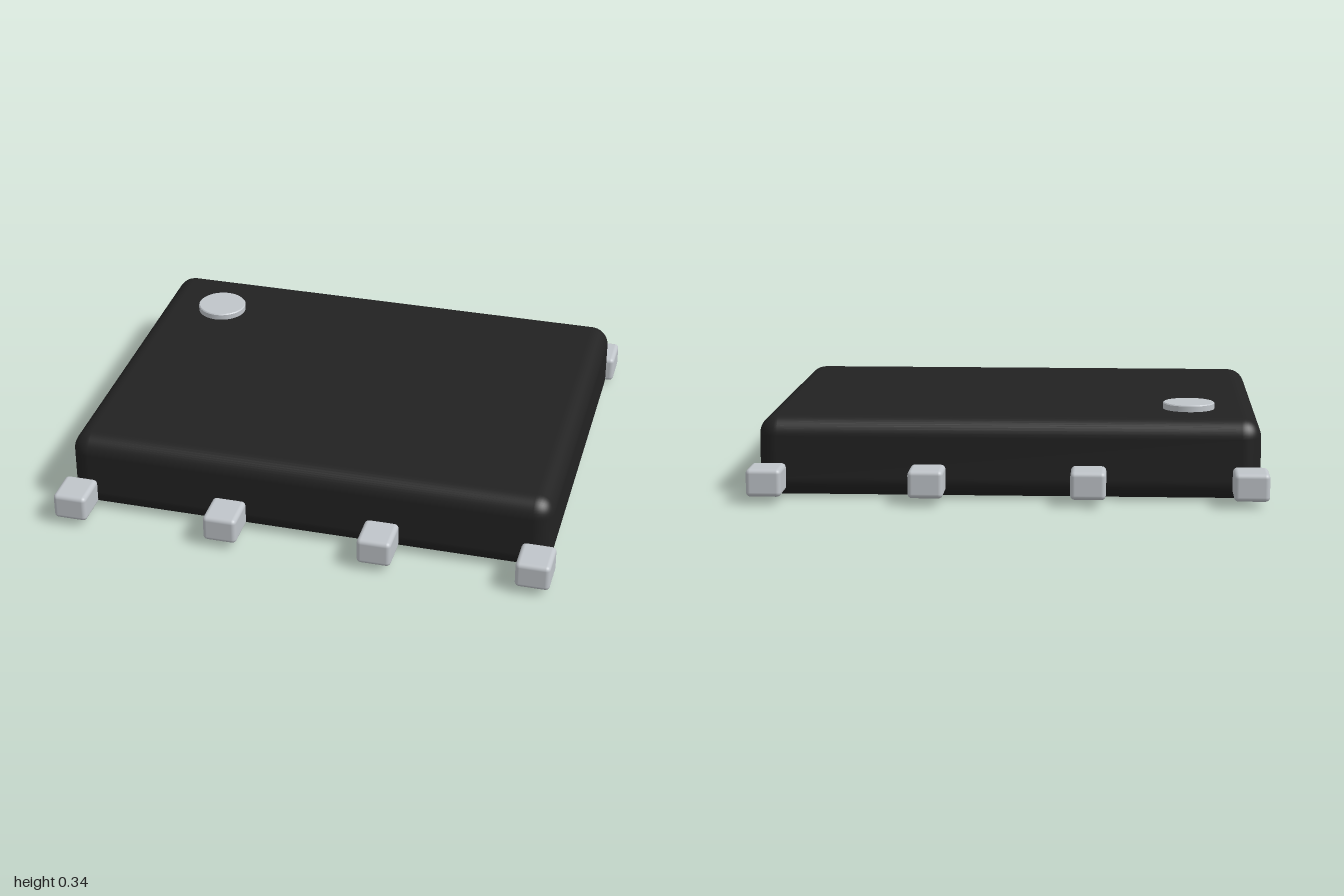
import * as THREE from 'three';
import { RoundedBoxGeometry } from 'three/addons/geometries/RoundedBoxGeometry.js';

export function createModel() {
  const model = new THREE.Group();
  const black = new THREE.MeshStandardMaterial({ name: 'black plastic', color: 0x222222 });
  const silver = new THREE.MeshStandardMaterial({ name: 'silver metal', color: 0xc0c5ca });

  const add = (name, geometry, material, x, y, z) => {
    const mesh = new THREE.Mesh(geometry, material);
    mesh.name = name;
    mesh.position.set(x, y, z);
    model.add(mesh);
  };

  // Rounded slab body
  add('body', new RoundedBoxGeometry(1.95, 0.315, 1.465, 5, 0.075), black, 0, 0.1575, 0);

  // Four small pins along the front and the back edge
  const pin = new RoundedBoxGeometry(0.136, 0.108, 0.157, 3, 0.018);
  for (const [side, sign] of [['front', 1], ['back', -1]]) {
    for (let i = 0; i < 4; i++) {
      add(`${side}Pin${i + 1}`, pin, silver, -0.932 + i * 0.6213, 0.081, sign * 0.803);
    }
  }

  // Round marker with a softened rim, in the back right corner of the top
  const profile = [[0, -0.02], [0.102, -0.02], [0.102, 0.016], [0.102, 0.016], [0.098, 0.02], [0.098, 0.02], [0, 0.02]]
    .map(([r, y]) => new THREE.Vector2(r, y));
  const rim = new THREE.LatheGeometry(profile.slice(1, 5), 40);
  add('markerRim', rim, silver, -0.7, 0.321, -0.437);
  const cap = new THREE.CircleGeometry(0.098, 40).rotateX(-Math.PI / 2);
  add('markerTop', cap, silver, -0.7, 0.341, -0.437);

  return model;
}
